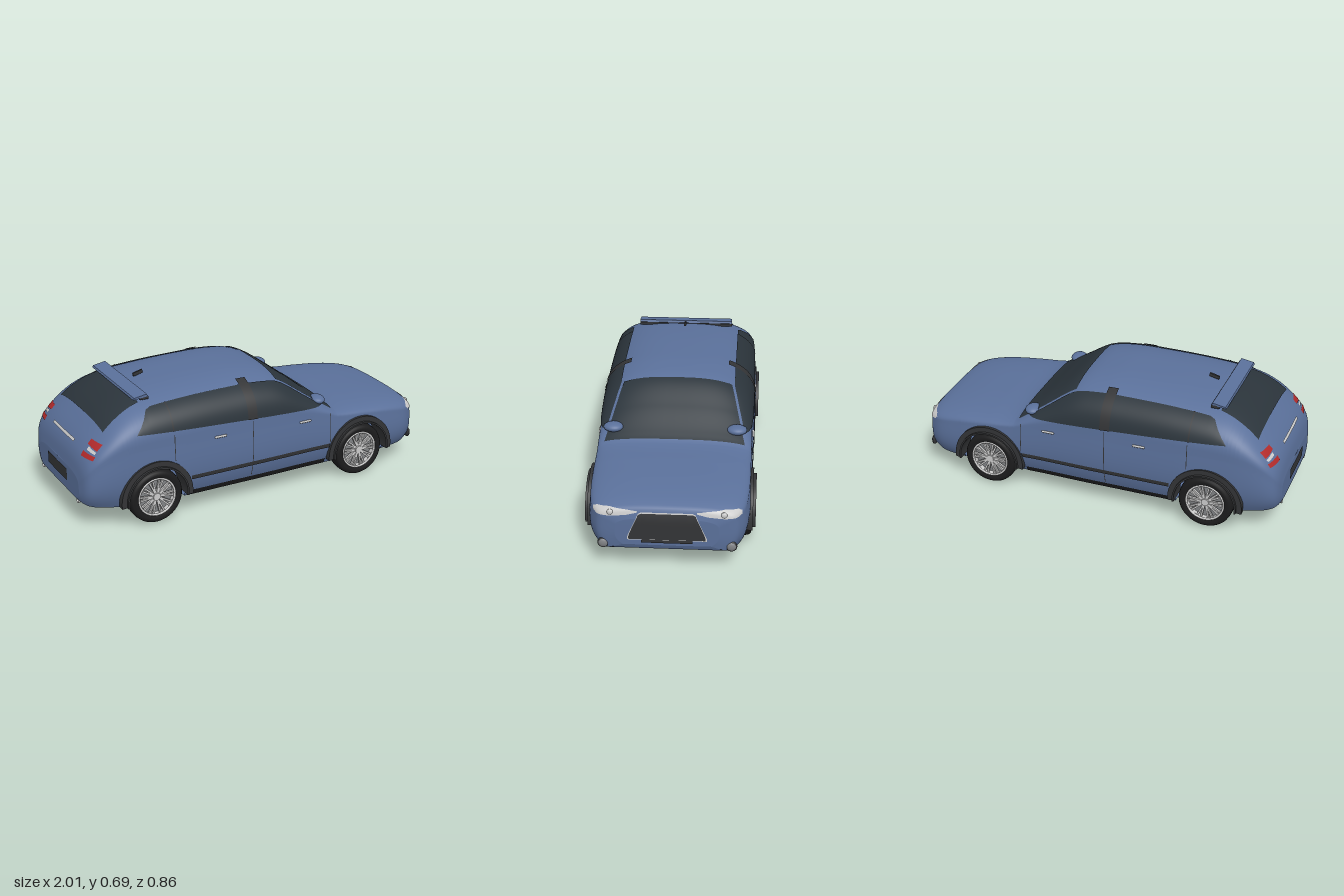
import * as THREE from 'three';

const mat = (color) => new THREE.MeshStandardMaterial({ color, side: THREE.DoubleSide });
const paint = mat(0x5a709a), glass = mat(0x2b343b), dark = mat(0x333436), rubber = mat(0x1c1c1d);
const silver = mat(0xcccccc), red = mat(0xb02a2a), lens = mat(0xf2f2f2), fogGrey = mat(0x808285);
const { lerp, clamp } = THREE.MathUtils;

// Body stations: x, top height, belt height, half width, bottom height
const KEYS = [
  [-0.998, 0.30, 0.24, 0.27, 0.155], [-0.985, 0.365, 0.28, 0.32, 0.145], [-0.96, 0.42, 0.32, 0.352, 0.135],
  [-0.90, 0.49, 0.37, 0.378, 0.125], [-0.80, 0.575, 0.41, 0.394, 0.115], [-0.68, 0.63, 0.42, 0.40, 0.108],
  [-0.45, 0.658, 0.42, 0.405, 0.1], [-0.15, 0.668, 0.42, 0.405, 0.1], [0, 0.664, 0.42, 0.405, 0.1],
  [0.14, 0.638, 0.415, 0.403, 0.1], [0.28, 0.545, 0.405, 0.40, 0.1], [0.40, 0.455, 0.385, 0.40, 0.1],
  [0.46, 0.422, 0.365, 0.40, 0.1], [0.62, 0.41, 0.345, 0.40, 0.1], [0.78, 0.397, 0.325, 0.395, 0.102],
  [0.90, 0.378, 0.305, 0.38, 0.107], [0.96, 0.36, 0.295, 0.35, 0.115], [0.985, 0.342, 0.285, 0.318, 0.122],
  [0.998, 0.30, 0.25, 0.25, 0.15],
];
const N = 2.8, ARCH = 0.168, AXLE = 0.147, WHEELS = [-0.625, 0.6];

// Smooth interpolation of the stations
function station(x) {
  let i = 0;
  while (i < KEYS.length - 2 && x > KEYS[i + 1][0]) i++;
  const k0 = KEYS[Math.max(i - 1, 0)], k1 = KEYS[i], k2 = KEYS[i + 1], k3 = KEYS[Math.min(i + 2, KEYS.length - 1)];
  const d = k2[0] - k1[0], t = clamp((x - k1[0]) / d, 0, 1);
  return [1, 2, 3, 4].map((c) => {
    const m1 = d * (k2[c] - k0[c]) / (k2[0] - k0[0]), m2 = d * (k3[c] - k1[c]) / (k3[0] - k1[0]);
    return (1 + 2 * t) * (1 - t) ** 2 * k1[c] + t * (1 - t) ** 2 * m1 + t * t * (3 - 2 * t) * k2[c] + t * t * (t - 1) * m2;
  });
}
// Upper shell point: a runs from 0 (left belt) over the roof to PI (right belt)
function upper(x, a, off = 0) {
  const [h, belt, w] = station(x), c = Math.cos(a), s = Math.max(Math.sin(a), 0);
  return [x, belt + (h - belt) * s ** (2 / N) + off * s, Math.sign(c) * w * Math.abs(c) ** (2 / N) + off * c];
}
const angleAtZ = (x, z) => Math.acos(Math.min(1, z / station(x)[2]) ** (N / 2));
function angleAtY(x, y) {
  const [h, belt] = station(x);
  return Math.asin(clamp((y - belt) / (h - belt), 0, 1) ** (N / 2));
}
// Half width of the lower side at height y
function sideZ(x, y) {
  const [, belt, w, bot] = station(x), t = clamp((belt - y) / (belt - bot), 0, 1);
  return w * (1 + 0.02 * Math.sin(Math.PI * t)) - 0.035 * t ** 4;
}
const archAt = (x) => WHEELS.reduce((y, c) => (Math.abs(x - c) < ARCH ? AXLE + Math.sqrt(ARCH ** 2 - (x - c) ** 2) : y), 0);

// Surface from a grid of points fn(i, j)
function grid(nu, nv, fn) {
  const pos = [], idx = [];
  for (let i = 0; i <= nu; i++) for (let j = 0; j <= nv; j++) pos.push(...fn(i, j));
  for (let i = 0; i < nu; i++) for (let j = 0; j < nv; j++) {
    const a = i * (nv + 1) + j, b = a + nv + 1;
    idx.push(a, b, b + 1, a, b + 1, a + 1);
  }
  const g = new THREE.BufferGeometry();
  g.setAttribute('position', new THREE.Float32BufferAttribute(pos, 3));
  g.setIndex(idx);
  g.computeVertexNormals();
  return g;
}

export function createModel() {
  const car = new THREE.Group();
  const add = (name, geo, material, x = 0, y = 0, z = 0, parent = car) => {
    const m = new THREE.Mesh(geo, material);
    m.name = name;
    m.position.set(x, y, z);
    parent.add(m);
    return m;
  };

  // Body shell, with stations packed around the wheel arches and both ends
  const xs = [];
  for (let i = 0; i <= 100; i++) xs.push(-0.998 * Math.cos(Math.PI * i / 100));
  for (const c of WHEELS) {
    for (let i = 0; i <= 24; i++) xs.push(c - (ARCH - 1e-5) * Math.cos(Math.PI * i / 24));
    xs.push(c - ARCH - 0.001, c + ARCH + 0.001);
  }
  xs.sort((a, b) => a - b);
  const SIDE = 10, ROOF = 48, last = xs.length + 1;
  const shellPoint = (x, j) => {
    if (j >= SIDE && j <= SIDE + ROOF) return upper(x, Math.PI * (j - SIDE) / ROOF);
    const [, belt, , bot] = station(x), left = j < SIDE, k = left ? j : 2 * SIDE + ROOF - j;
    const y = lerp(Math.min(Math.max(bot, archAt(x)), belt), belt, k / SIDE);
    return [x, y, (left ? 1 : -1) * sideZ(x, y)];
  };
  const body = add('body', grid(last, 2 * SIDE + ROOF, (i, j) => {
    const p = shellPoint(xs[clamp(i - 1, 0, xs.length - 1)], j);
    return i === 0 || i === last ? [i ? 1 : -1, p[1], 0] : p; // closing strip at each end
  }), paint);
  add('floor', grid(xs.length - 1, 2, (i, j) => {
    const x = xs[i], bot = station(x)[3];
    return [x, bot, (j - 1) * (archAt(x) ? 0.3 : sideZ(x, bot))];
  }), paint);

  // Patches lying on the upper shell between two angles
  const patch = (name, x0, x1, lo, hi, material, off = 0.005) =>
    add(name, grid(40, 24, (i, j) => {
      const x = lerp(x0, x1, i / 40);
      return upper(x, lerp(lo(x), hi(x), j / 24), off);
    }), material);
  const both = (name, x0, x1, lo, hi, material, off) => {
    patch(name, x0, x1, lo, hi, material, off);
    patch(name, x0, x1, (x) => Math.PI - hi(x), (x) => Math.PI - lo(x), material, off);
  };
  const pillarZ = (x) => lerp(0.29, 0.365, clamp((x - 0.13) / 0.3, 0, 1));
  const screenEdge = (x) => angleAtZ(x, pillarZ(x) - 0.006);
  const rearEdge = (x) => angleAtZ(x, lerp(0.28, 0.25, (x + 0.86) / 0.2));
  patch('windscreen', 0.13, 0.435, screenEdge, (x) => Math.PI - screenEdge(x), glass);
  patch('rearWindow', -0.86, -0.65, rearEdge, (x) => Math.PI - rearEdge(x), glass);
  const winTop = (x) => Math.min(angleAtZ(x, pillarZ(x) + 0.008),
    x < -0.5 ? angleAtY(x, x < -0.63 ? lerp(0.5, 0.6, (x + 0.72) / 0.09) : lerp(0.6, 0.635, (x + 0.63) / 0.13)) : 9);
  const winLow = (x) => Math.min(angleAtY(x, 0.463 - 0.05 * x), winTop(x));
  both('sideWindow', -0.72, 0.4, winLow, winTop, glass);
  both('centrePillar', -0.1, -0.045, winLow, (x) => angleAtZ(x, 0.26), dark, 0.009);
  both('windowDivider', -0.53, -0.522, winLow, winTop, dark, 0.008);

  // Strips projected straight onto the body; rows are [u, low, high]
  body.updateMatrixWorld();
  const ray = new THREE.Raycaster();
  const project = (axis, sign, u, v, off = 0.004) => {
    const o = axis === 'x' ? new THREE.Vector3(sign * 2, v, u + 1e-4) : new THREE.Vector3(u, v, sign * 2);
    ray.set(o, axis === 'x' ? new THREE.Vector3(-sign, 0, 0) : new THREE.Vector3(0, 0, -sign));
    const hit = ray.intersectObject(body)[0];
    if (hit) o.copy(hit.point);
    else o[axis] = axis === 'x' ? sign * 0.96 : sign * 0.4;
    o[axis] += sign * off;
    return o.toArray();
  };
  const decal = (name, axis, sign, rows, material, off) => {
    const M = 8, n = (rows.length - 1) * M;
    add(name, grid(n, 6, (i, j) => {
      const r = Math.min(Math.floor(i / M), rows.length - 2), t = i / M - r;
      const [u, lo, hi] = rows[r].map((a, c) => lerp(a, rows[r + 1][c], t));
      return project(axis, sign, u, lerp(lo, hi, j / 6), off);
    }), material);
  };

  // Front face
  const trapezoid = (g) => [[-0.19 - g, 0.185 - g, 0.195], [-0.18, 0.185 - g, 0.225 + g], [-0.14, 0.185 - g, 0.318 + g],
    [-0.125, 0.185 - g, 0.325 + g], [0.125, 0.185 - g, 0.325 + g], [0.14, 0.185 - g, 0.318 + g],
    [0.18, 0.185 - g, 0.225 + g], [0.19 + g, 0.185 - g, 0.195]];
  decal('grilleFrame', 'x', 1, trapezoid(0.005), silver, 0.004);
  decal('grille', 'x', 1, trapezoid(0), dark, 0.007);
  decal('frontPlateHolder', 'x', 1, [[-0.125, 0.168, 0.185], [0.125, 0.168, 0.185]], dark, 0.009);
  decal('frontLowerLip', 'x', 1, [[-0.27, 0.125, 0.13], [-0.2, 0.122, 0.137], [0.2, 0.122, 0.137], [0.27, 0.125, 0.13]], dark);
  // Rear face
  decal('rearPlateHolder', 'x', -1, [[-0.13, 0.21, 0.275], [0.13, 0.21, 0.275]], dark);
  decal('tailgateBar', 'x', -1, [[-0.14, 0.425, 0.438], [0.14, 0.425, 0.438]], silver, 0.008);
  for (const s of [1, -1]) {
    decal('headlight', 'x', 1, [[s * 0.145, 0.328, 0.334], [s * 0.2, 0.314, 0.34], [s * 0.28, 0.306, 0.344],
      [s * 0.345, 0.306, 0.336], [s * 0.365, 0.31, 0.325]], silver);
    add('headlightBulb', new THREE.SphereGeometry(0.016, 16, 12), lens, ...project('x', 1, s * 0.277, 0.322, 0)).scale.x = 0.6;
    const fog = project('x', 1, s * 0.315, 0.145, 0);
    add('fogLightRing', new THREE.SphereGeometry(0.029, 24, 12), dark, ...fog).scale.x = 0.4;
    add('fogLight', new THREE.SphereGeometry(0.023, 24, 12), fogGrey, fog[0] + 0.005, fog[1], fog[2]).scale.x = 0.45;
    decal('upperTailLight', 'x', -1, [[s * 0.25, 0.45, 0.472], [s * 0.335, 0.435, 0.466]], red);
    decal('reverseLight', 'x', -1, [[s * 0.27, 0.428, 0.443], [s * 0.335, 0.42, 0.43]], lens);
    decal('lowerTailLight', 'x', -1, [[s * 0.25, 0.395, 0.418], [s * 0.345, 0.393, 0.412]], red);
    add('exhaust', new THREE.CylinderGeometry(0.012, 0.012, 0.08, 16, 1, true), silver, -0.955, 0.142, s * 0.24).rotation.z = Math.PI / 2;

    // Sides
    decal('sideMoulding', 'z', s, [[-0.43, 0.205, 0.228], [0.405, 0.205, 0.228]], dark, 0.006);
    decal('sill', 'z', s, [[-0.42, 0.104, 0.135], [0.39, 0.104, 0.135]], rubber, 0.006);
    decal('doorSeam', 'z', s, [[-0.071, 0.14, 0.455], [-0.067, 0.14, 0.455]], dark, 0.002);
    decal('doorSeam', 'z', s, [[-0.522, 0.33, 0.47], [-0.518, 0.33, 0.47]], dark, 0.002);
    decal('doorSeam', 'z', s, [[0.408, 0.235, 0.4], [0.412, 0.235, 0.4]], dark, 0.002);
    for (const [x, y] of [[-0.26, 0.41], [0.25, 0.387]]) {
      const handle = add('doorHandle', new THREE.CapsuleGeometry(0.006, 0.058, 4, 10), silver, x, y, s * (sideZ(x, y) + 0.004));
      handle.rotation.z = Math.PI / 2;
    }
    add('mirror', new THREE.SphereGeometry(1, 28, 18), paint, 0.365, 0.465, s * 0.322).scale.set(0.043, 0.024, 0.052);
    add('mirrorStalk', new THREE.BoxGeometry(0.03, 0.04, 0.05), dark, 0.355, 0.44, s * 0.33);
  }

  // Spoiler and roof aerial
  const wing = new THREE.Shape().moveTo(-0.68, 0.638).lineTo(-0.6, 0.646).lineTo(-0.605, 0.66).lineTo(-0.675, 0.648);
  add('spoiler', new THREE.ExtrudeGeometry(wing, { depth: 0.53, bevelEnabled: false }), paint, 0, 0, -0.265);
  add('spoilerBase', new THREE.BoxGeometry(0.045, 0.016, 0.53), dark, -0.62, 0.64, 0);
  add('aerial', new THREE.BoxGeometry(0.055, 0.018, 0.01), dark, -0.535, 0.671, 0).rotation.z = 0.25;

  // Wheels and arches
  const halfRing = (r, R, depth) => {
    const s = new THREE.Shape().absarc(0, 0, R, -0.1, Math.PI + 0.1, false).absarc(0, 0, r, Math.PI + 0.1, -0.1, true);
    return new THREE.ExtrudeGeometry(s, { depth, bevelEnabled: false, curveSegments: 32 });
  };
  const tyreProfile = [[0.1, -0.04], [0.12, -0.047], [0.136, -0.045], [0.144, -0.034], [0.147, -0.015],
    [0.147, 0.015], [0.144, 0.034], [0.136, 0.045], [0.12, 0.047], [0.1, 0.04]].map((p) => new THREE.Vector2(...p));
  for (const cx of WHEELS) for (const s of [1, -1]) {
    add('archLiner', halfRing(0.163, 0.172, 0.12), dark, cx, AXLE, s > 0 ? 0.31 : -0.43);
    add('archTrim', halfRing(0.165, 0.2, 0.034), dark, cx, AXLE, s > 0 ? 0.382 : -0.416);
    const wheel = new THREE.Group();
    wheel.name = 'wheel';
    wheel.position.set(cx, AXLE, s * 0.362);
    wheel.rotation.x = s * Math.PI / 2; // local +y points outwards
    car.add(wheel);
    add('tyre', new THREE.LatheGeometry(tyreProfile, 48), rubber, 0, 0, 0, wheel);
    add('rimBarrel', new THREE.CylinderGeometry(0.1, 0.1, 0.08, 40, 1, true), silver, 0, 0, 0, wheel);
    add('rimLip', new THREE.TorusGeometry(0.1, 0.006, 8, 48), silver, 0, 0.04, 0, wheel).rotation.x = Math.PI / 2;
    add('rimBack', new THREE.CylinderGeometry(0.1, 0.1, 0.008, 40), fogGrey, 0, 0.004, 0, wheel);
    add('rimInside', new THREE.CylinderGeometry(0.1, 0.1, 0.008, 40), silver, 0, -0.02, 0, wheel);
    add('hub', new THREE.CylinderGeometry(0.02, 0.026, 0.036, 20), silver, 0, 0.024, 0, wheel);
    for (let i = 0; i < 20; i++) {
      const a = Math.PI * (Math.floor(i / 2) / 5) + (i % 2 ? 0.11 : -0.11);
      const spoke = add('spoke', new THREE.BoxGeometry(0.082, 0.012, 0.009), silver, 0.06 * Math.cos(a), 0.03, -0.06 * Math.sin(a), wheel);
      spoke.rotation.y = a;
    }
  }
  return car;
}
